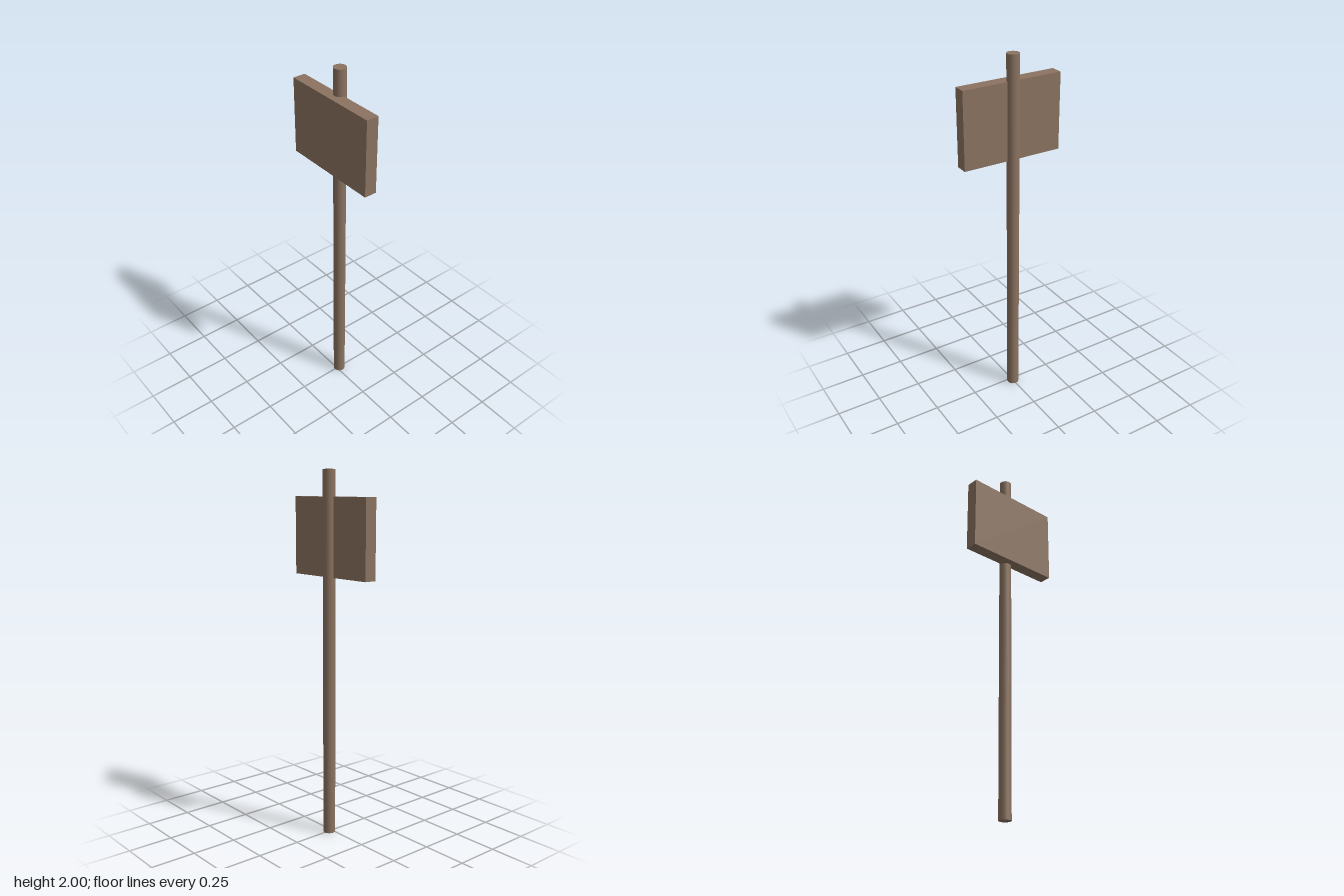
import * as THREE from 'three';

export function createModel() {
  const model = new THREE.Group();
  model.name = 'signpost';

  const wood = new THREE.MeshStandardMaterial({ color: 0x8b7360 });
  wood.name = 'brown wood';

  const addPart = (name, geometry, x, y, z) => {
    const mesh = new THREE.Mesh(geometry, wood);
    mesh.name = name;
    mesh.position.set(x, y, z);
    model.add(mesh);
  };

  // Round upright pole, smooth sided
  const postZ = -0.018;
  addPart('post', new THREE.CylinderGeometry(0.0335, 0.0335, 2, 32), 0, 1, postZ);

  // Blank board, its back face on the axis of the pole
  const depth = 0.069;
  addPart('signBoard', new THREE.BoxGeometry(0.566, 0.42, depth), 0, 1.65, postZ + depth / 2);

  return model;
}
